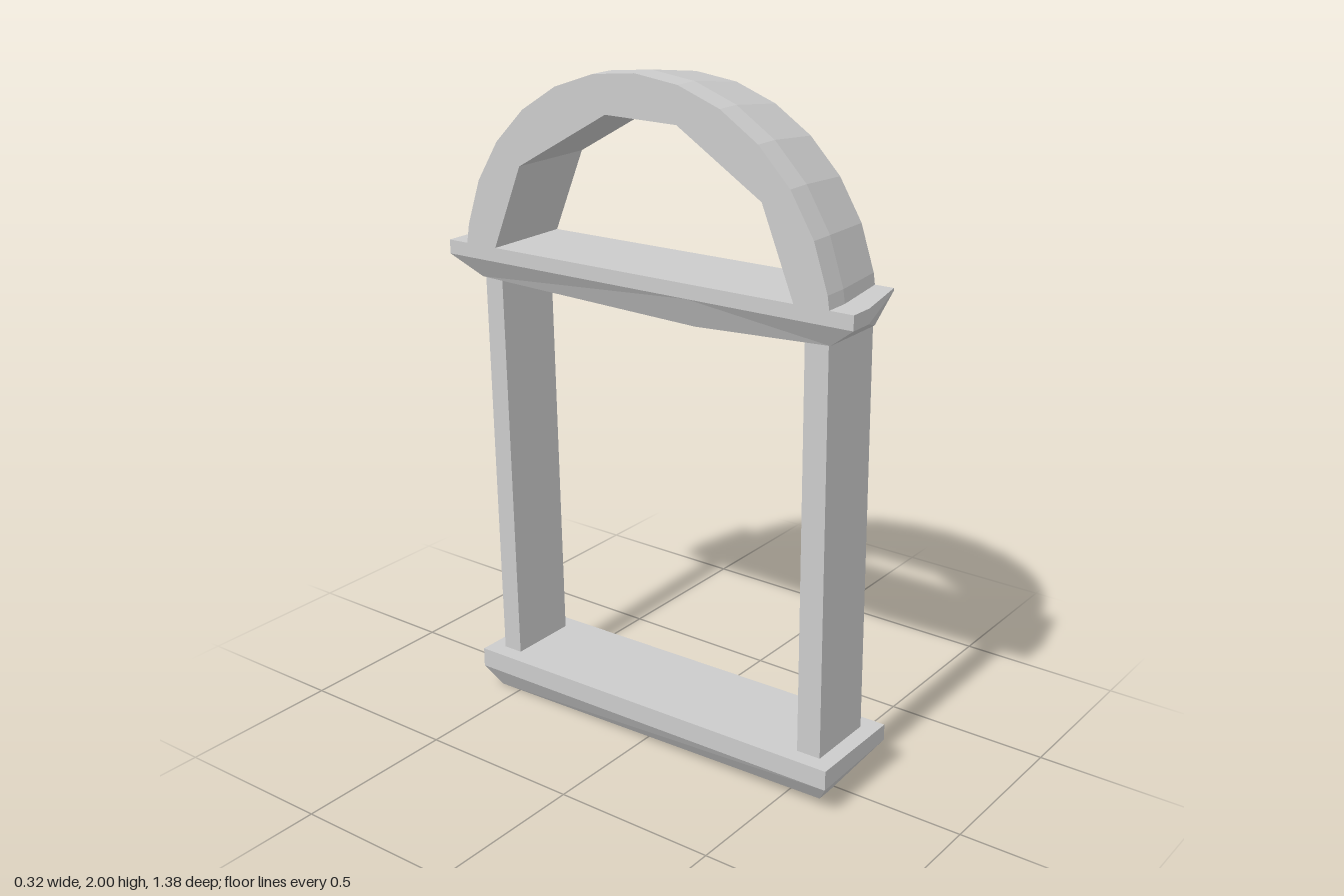
import * as THREE from 'three';

const material = new THREE.MeshStandardMaterial({ color: 0xcccccc, flatShading: true });

// Closed solid from horizontal loops of [x, y, z], lowest first, each anticlockwise from above.
// slope tips the whole part gently along z.
function loft(name, rings, slope = 0) {
  const pos = [];
  const tri = (...pts) => pts.forEach(([x, y, z]) => pos.push(x, y + slope * z, z));
  const n = rings[0].length;
  for (let r = 0; r < rings.length - 1; r++) {
    for (let k = 0; k < n; k++) {
      const j = (k + 1) % n;
      const a = rings[r][k], b = rings[r][j], c = rings[r + 1][j], d = rings[r + 1][k];
      // diagonals mirror between the two ends
      if (a[2] < 0) { tri(a, b, c); tri(a, c, d); } else { tri(a, b, d); tri(b, c, d); }
    }
  }
  const low = rings[0], top = rings[rings.length - 1];
  for (let k = 1; k < n - 1; k++) {
    tri(low[0], low[k + 1], low[k]);
    tri(top[0], top[k], top[k + 1]);
  }
  const geo = new THREE.BufferGeometry();
  geo.setAttribute('position', new THREE.Float32BufferAttribute(pos, 3));
  geo.computeVertexNormals();
  const mesh = new THREE.Mesh(geo, material);
  mesh.name = name;
  return mesh;
}

// Rectangular loop: x range, z range, height
const rect = (x0, x1, zBack, zFront, y) =>
  [[x0, y, zFront], [x1, y, zFront], [x1, y, zBack], [x0, y, zBack]];

// Sill: slab with a lopsided keel below
function makeSill() {
  return loft('sill', [
    [[-0.12, 0.02, 0.62], [-0.07, 0.02, 0.62], [-0.07, 0.009, -0.57], [-0.12, 0.009, -0.57]],
    [[-0.16, 0.08, 0.66], [0.16, 0.09, 0.66], [0.16, 0.09, -0.61], [-0.16, 0.08, -0.61]],
    rect(-0.16, 0.16, -0.61, 0.66, 0.14),
  ], 0.016);
}

// Lintel: chamfered plan, tapering to a narrower, slightly sagging underside
function makeLintel() {
  const plan = [[-0.15, 0.17], [-0.15, 0.69], [-0.075, 0.69], [0.125, 0.645],
    [0.125, -0.645], [-0.075, -0.69], [-0.15, -0.69]];
  const bottom = plan.map(([x, z], i) =>
    i === 0 ? [-0.11, 1.328, z] : [x > 0 ? 0.11 : -0.11, 1.35, 0.6 * Math.sign(z)]);
  const middle = plan.map(([x, z]) => [x, x > 0 ? 1.45 : 1.415, z]);
  const top = plan.map(([x, z]) => [x, 1.457, z]);
  return loft('lintel', [bottom, middle, top], 0.016);
}

// Arch: faceted round outside, five-sided opening, outer rim drawn in towards +x
function makeArch() {
  const R = 0.625, cy = 1.375;
  const pts = [];
  for (let i = -7; i <= 7; i++) {
    const a = THREE.MathUtils.degToRad(Math.sign(i) * Math.min(Math.abs(i) * 13, 84));
    pts.push(new THREE.Vector2(R * Math.sin(a), R * Math.cos(a)));
  }
  for (const [z, y] of [[-0.515, 1.44], [-0.41, 1.70], [-0.10, 1.88],
    [0.137, 1.88], [0.407, 1.715], [0.52, 1.44]]) pts.push(new THREE.Vector2(-z, y - cy));

  const geo = new THREE.ExtrudeGeometry(new THREE.Shape(pts),
    { depth: 0.275, steps: 11, bevelEnabled: false });
  const p = geo.attributes.position;
  for (let i = 0; i < p.count; i++) {
    if (Math.hypot(p.getX(i), p.getY(i)) < 0.58) continue;
    const s = 1 - 0.048 * Math.max(0, (p.getZ(i) - 0.075) / 0.2);
    p.setXY(i, p.getX(i) * s, p.getY(i) * s);
  }
  geo.rotateY(Math.PI / 2);
  geo.translate(-0.15, cy, 0);
  geo.computeVertexNormals();
  const mesh = new THREE.Mesh(geo, material);
  mesh.name = 'arch';
  return mesh;
}

export function createModel() {
  const group = new THREE.Group();
  group.name = 'archedWindowFrame';
  group.add(makeSill());

  // Jambs, both leaning slightly towards -z
  group.add(loft('frontJamb', [
    rect(-0.11, 0.11, 0.535, 0.61, 0.12), rect(-0.11, 0.11, 0.522, 0.595, 1.37)]));
  group.add(loft('backJamb', [
    rect(-0.11, 0.11, -0.563, -0.5, 0.11), rect(-0.11, 0.11, -0.588, -0.525, 1.35)]));

  group.add(makeLintel(), makeArch());
  return group;
}
